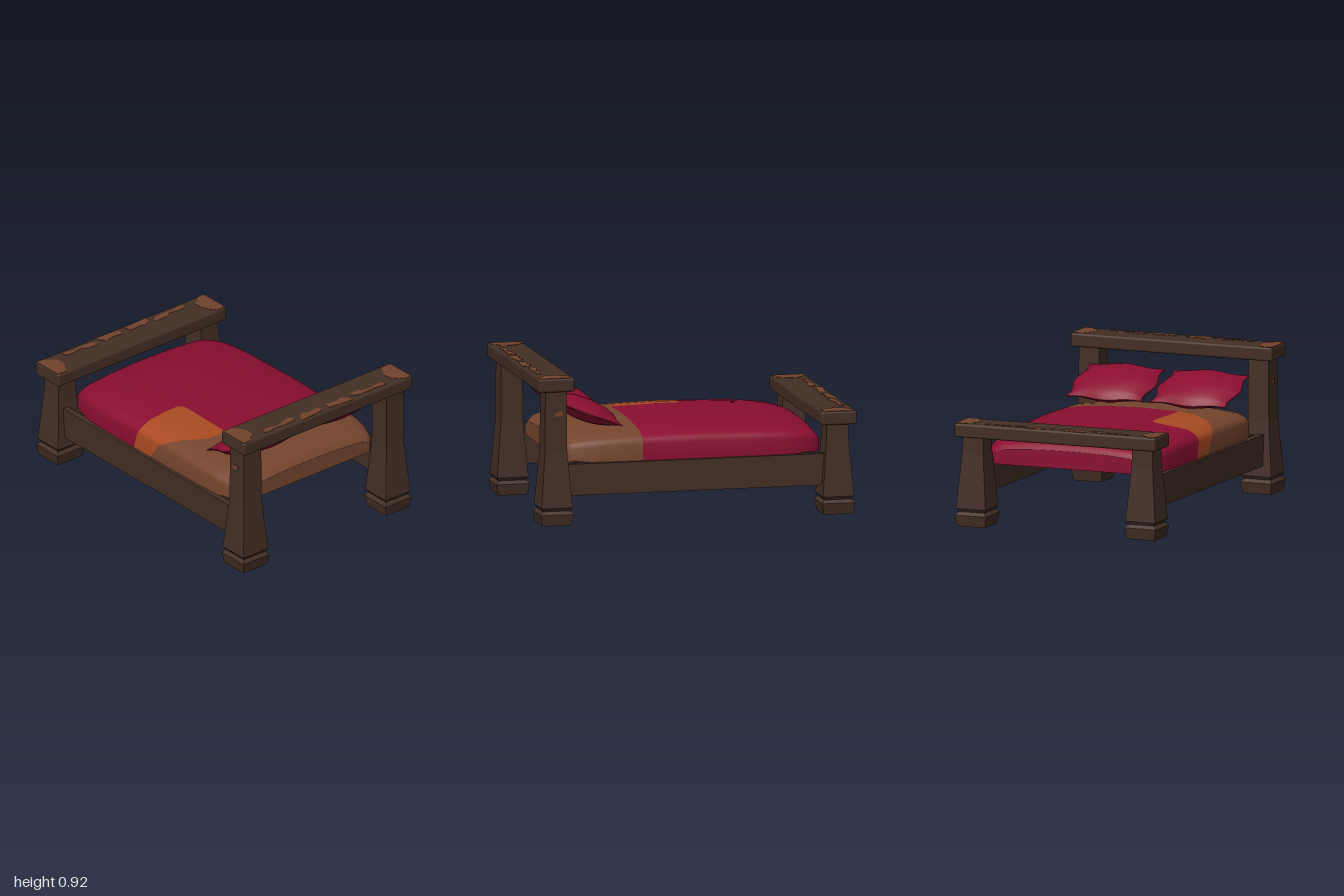
import * as THREE from 'three';
import { RoundedBoxGeometry } from 'three/addons/geometries/RoundedBoxGeometry.js';

const mat = (name, color, side = THREE.FrontSide) => {
  const m = new THREE.MeshStandardMaterial({ color, side });
  m.name = name;
  return m;
};

// piecewise-linear lookup: rows of [key, value, value...]
function lookup(table, key, column) {
  for (let i = 1; i < table.length; i++) {
    const a = table[i - 1], b = table[i];
    if (key <= b[0]) return THREE.MathUtils.lerp(a[column], b[column], (key - a[0]) / (b[0] - a[0]));
  }
  return table[table.length - 1][column];
}

const BASE = 0.37, END = 0.805;
// mattress: distance from middle, half width, top height
const OUTLINE = [[0, 0.585, 0.58], [0.45, 0.583, 0.568], [0.6, 0.575, 0.556],
  [0.7, 0.555, 0.542], [0.77, 0.525, 0.52], [END, 0.49, 0.48]];

// Strip of the mattress surface; each column is [width fraction, height fraction, zStart, zEnd]
function band(columns, ease, capStart, capEnd) {
  const rows = 24, pos = [], index = [], total = rows + 1 + capStart + capEnd;
  for (const [xf, yf, z0, z1] of columns) {
    for (let j = 0; j < total; j++) {
      const r = THREE.MathUtils.clamp(j - capStart, 0, rows);
      const z = THREE.MathUtils.lerp(z0, z1, ease(r / rows));
      const capped = (capStart && j === 0) || (capEnd && j === total - 1);
      const w = lookup(OUTLINE, Math.abs(z), 1), h = lookup(OUTLINE, Math.abs(z), 2);
      pos.push(xf * w, BASE + (capped ? 0 : (h - BASE) * yf), z);
    }
  }
  for (let i = 0; i < columns.length - 1; i++) {
    for (let j = 0; j < total - 1; j++) {
      const a = i * total + j, c = a + total;
      index.push(a, a + 1, c, c, a + 1, c + 1);
    }
  }
  const g = new THREE.BufferGeometry();
  g.setAttribute('position', new THREE.Float32BufferAttribute(pos, 3));
  g.setIndex(index);
  g.computeVertexNormals();
  return g;
}

// Square post with a tapered shaft, notched foot and hollow underside
function postGeometry(top) {
  const profile = [[0, 0.03], [0.045, 0.03], [0.05, 0], [0.092, 0], [0.105, 0.07], [0.085, 0.09],
    [0.098, 0.11], [0.07, 0.45], [0.067, top]].map(([r, y]) => new THREE.Vector2(r * Math.SQRT2, y));
  const g = new THREE.LatheGeometry(profile, 4).rotateY(Math.PI / 4).toNonIndexed();
  g.computeVertexNormals();
  return g;
}

// Plump cushion with pinched corners
function pillowGeometry() {
  const g = new THREE.BoxGeometry(2, 2, 2, 14, 1, 14);
  const p = g.attributes.position;
  const bulge = t => 1 + 0.06 * Math.cos(4.5 * t);
  for (let i = 0; i < p.count; i++) {
    const u = p.getX(i), v = p.getZ(i);
    const puff = Math.pow(Math.max(0, (1 - u * u) * (1 - v * v)), 0.6);
    p.setXYZ(i, 0.256 * u * bulge(v), Math.sign(p.getY(i)) * (0.003 + 0.065 * puff), 0.2 * v * bulge(u));
  }
  g.computeVertexNormals();
  return g;
}

// Thin worn patch lying flat; points are [x, z]
function patchGeometry(points) {
  const shape = new THREE.Shape(points.map(([x, z]) => new THREE.Vector2(x, -z)));
  return new THREE.ExtrudeGeometry(shape, { depth: 0.003, bevelEnabled: false }).rotateX(-Math.PI / 2);
}

export function createModel() {
  const model = new THREE.Group();
  model.name = 'bed';
  const wood = mat('dark wood', 0x432e24);
  const worn = mat('worn wood', 0x70422c);
  const sheet = mat('brown sheet', 0x75452e, THREE.DoubleSide);
  const blanket = mat('crimson blanket', 0x8a0e30, THREE.DoubleSide);
  const lining = mat('orange lining', 0xa84a22, THREE.DoubleSide);
  const add = (name, geometry, material, x = 0, y = 0, z = 0, parent = model) => {
    const m = new THREE.Mesh(geometry, material);
    m.name = name;
    m.position.set(x, y, z);
    parent.add(m);
    return m;
  };

  // worn patches on one half of a bar top, outer edge towards +z
  const patches = [
    [[0.665, -0.09], [0.65, -0.1], [0.6, -0.1], [0.57, -0.06], [0.545, -0.01], [0.55, 0.05], [0.59, 0.075],
      [0.61, 0.1], [0.655, 0.105], [0.665, 0.09]],
    [[0.48, 0.075], [0.47, 0.05], [0.42, 0.045], [0.36, 0.06], [0.3, 0.035], [0.25, 0.03], [0.22, 0.05],
      [0.25, 0.075], [0.32, 0.08], [0.4, 0.075], [0.46, 0.085]],
    [[0.2, 0.105], [0.19, 0.06], [0.15, 0.035], [0.11, 0.05], [0.03, 0.04], [0.025, 0.085], [0.1, 0.095]],
  ];

  // head end at +z, foot end at -z
  for (const [name, dir, top] of [['head', 1, 0.915], ['foot', -1, 0.64]]) {
    const end = new THREE.Group();
    end.name = name + 'Frame';
    model.add(end);
    add(name + 'Bar', new RoundedBoxGeometry(1.34, 0.086, 0.225, 2, 0.014), wood, 0, top - 0.043, dir * 0.8875, end);
    for (const side of [-1, 1]) {
      add(name + 'Post', postGeometry(top - 0.08), wood, side * 0.565, 0, dir * 0.885, end);
      for (const points of patches) {
        const mirrored = points.map(([x, z]) => [x * side, z * dir]);
        add('wornPatch', patchGeometry(mirrored), worn, 0, top - 0.001, dir * 0.8875, end);
      }
    }
  }

  // side rails, with a small worn spot on each head post
  for (const side of [-1, 1]) {
    add('sideRail', new THREE.BoxGeometry(0.04, 0.195, 1.64), wood, side * 0.585, 0.2725, 0);
    add('wornSpot', new THREE.BoxGeometry(0.006, 0.03, 0.05), worn, side * 0.634, 0.69, 0.87);
  }

  // mattress underside with a dark rim
  add('undersideRim', new THREE.BoxGeometry(1.13, 0.006, 1.5), wood, 0, 0.373, 0);
  add('undersidePanel', new THREE.BoxGeometry(1.04, 0.006, 1.42), sheet, 0, 0.37, 0);

  // columns across the bed: [width fraction, height fraction, blanket edge, fold edge]
  const folded = [[-1, 0, -0.16, 0.0], [-1, 0.5, -0.13, 0.07], [-0.97, 0.64, -0.125, 0.11], [-0.94, 0.72, -0.12, 0.14],
    [-0.85, 0.84, -0.12, 0.2], [-0.65, 0.91, -0.12, 0.3], [-0.48, 0.955, -0.11, 0.315], [-0.43, 0.965, -0.08, 0.325]];
  const plain = [[-0.43, 0.965], [-0.2, 0.99], [0, 1], [0.2, 0.99], [0.43, 0.965], [0.65, 0.91], [0.85, 0.84],
    [0.94, 0.72], [0.97, 0.64], [1, 0.5], [1, 0]].map(([x, y]) => [x, y, 0.325, 0.325]);
  const easeIn = t => t * t, easeOut = t => 1 - (1 - t) * (1 - t);
  for (const columns of [folded, plain]) {
    add('blanket', band(columns.map(([x, y, e]) => [x, y, -END, e]), easeIn, 1, 0), blanket);
    add('mattress', band(columns.map(([x, y, , f]) => [x, y, f, END]), easeOut, 0, 1), sheet);
  }
  add('blanketFold', band(folded, t => t, 0, 0), lining);

  // pillows leaning towards the head
  for (const x of [-0.255, 0.305]) {
    add('pillow', pillowGeometry(), blanket, x, 0.655, 0.63).rotation.x = -0.37;
  }
  return model;
}
